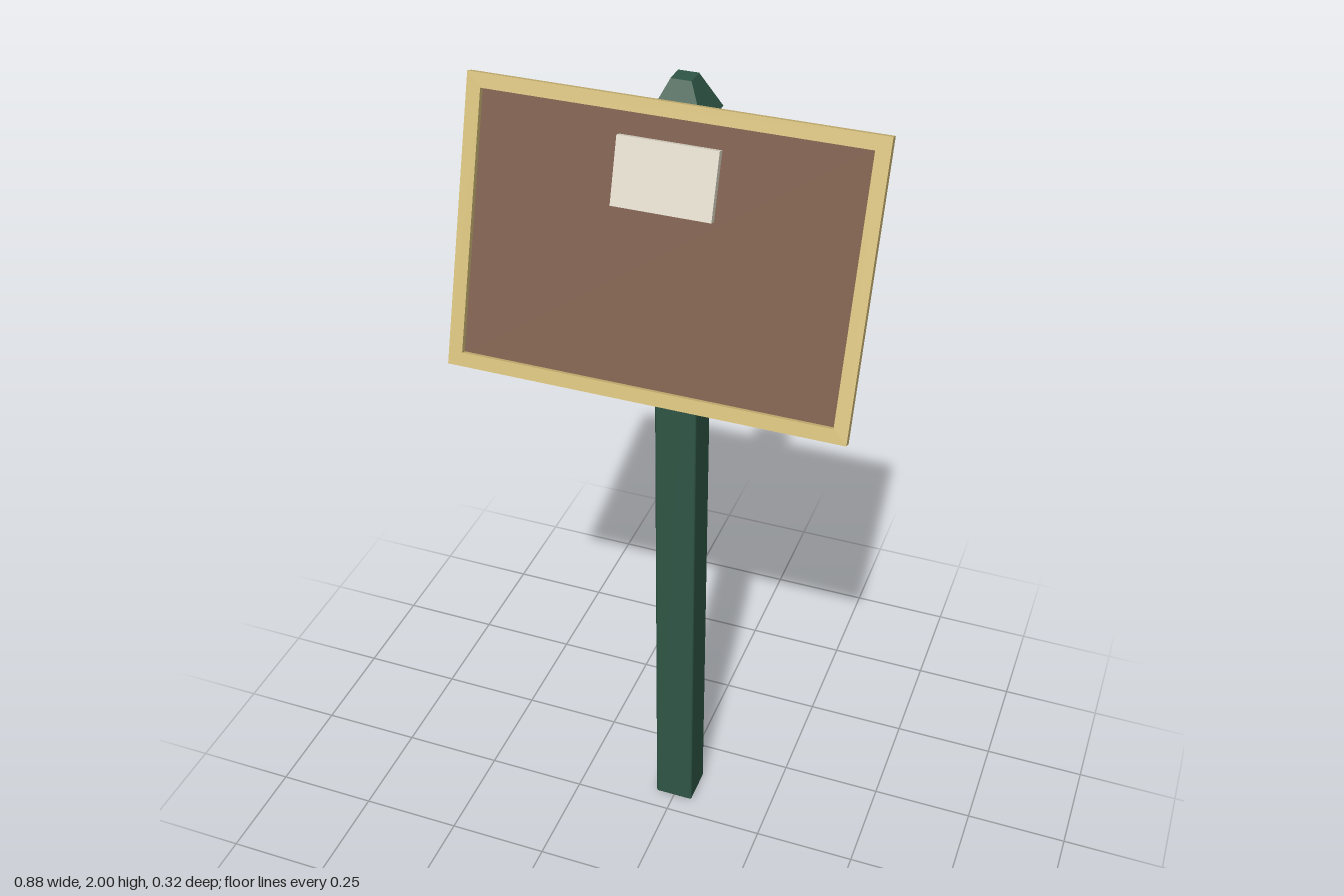
import * as THREE from 'three';
import { RoundedBoxGeometry } from 'three/addons/geometries/RoundedBoxGeometry.js';

const mat = (name, color) => {
  const m = new THREE.MeshStandardMaterial({ color });
  m.name = name;
  return m;
};

export function createModel() {
  const green = mat('green paint', 0x2f5645);
  const brown = mat('brown board', 0x775744);
  const tan = mat('tan trim', 0xd2bb78);
  const cream = mat('cream paper', 0xe0d9c9);

  const root = new THREE.Group();
  root.name = 'noticeBoard';
  const add = (parent, name, geometry, material, x, y, z) => {
    const mesh = new THREE.Mesh(geometry, material);
    mesh.name = name;
    mesh.position.set(x, y, z);
    parent.add(mesh);
    return mesh;
  };

  // Square post with softened edges
  const postZ = -0.099;
  add(root, 'post', new RoundedBoxGeometry(0.098, 1.94, 0.098, 2, 0.006), green, 0, 0.97, postZ);

  // Cap: truncated four-sided pyramid
  const capGeo = new THREE.CylinderGeometry(0.022 * Math.SQRT2, 0.061 * Math.SQRT2, 0.08, 4);
  capGeo.rotateY(Math.PI / 4);
  const cap = capGeo.toNonIndexed();
  cap.computeVertexNormals();
  add(root, 'postCap', cap, green, 0, 1.96, -0.1);

  // Tilted sign: local z = 0 is the front of the frame
  const sign = new THREE.Group();
  sign.name = 'sign';
  sign.position.set(0, 1.68, 0.0645);
  sign.rotation.x = -THREE.MathUtils.degToRad(18);
  root.add(sign);

  add(sign, 'board', new RoundedBoxGeometry(0.866, 0.6, 0.05, 2, 0.008), brown, 0, 0, -0.038);

  // Frame: rectangle with a rectangular opening
  const rect = (Type, w, h) => {
    const p = new Type();
    p.moveTo(-w / 2, -h / 2);
    p.lineTo(w / 2, -h / 2);
    p.lineTo(w / 2, h / 2);
    p.lineTo(-w / 2, h / 2);
    p.closePath();
    return p;
  };
  const outline = rect(THREE.Shape, 0.882, 0.615);
  outline.holes.push(rect(THREE.Path, 0.82, 0.555));
  const frameGeo = new THREE.ExtrudeGeometry(outline, { depth: 0.02, bevelEnabled: false });
  add(sign, 'frame', frameGeo, tan, 0, 0, -0.02);

  // Pinned note
  add(sign, 'note', new THREE.BoxGeometry(0.216, 0.142, 0.018), cream, 0, 0.159, -0.005);

  // Strut from the post to the back of the board
  add(sign, 'strut', new THREE.BoxGeometry(0.06, 0.055, 0.13), green, 0, -0.158, -0.12);

  return root;
}
